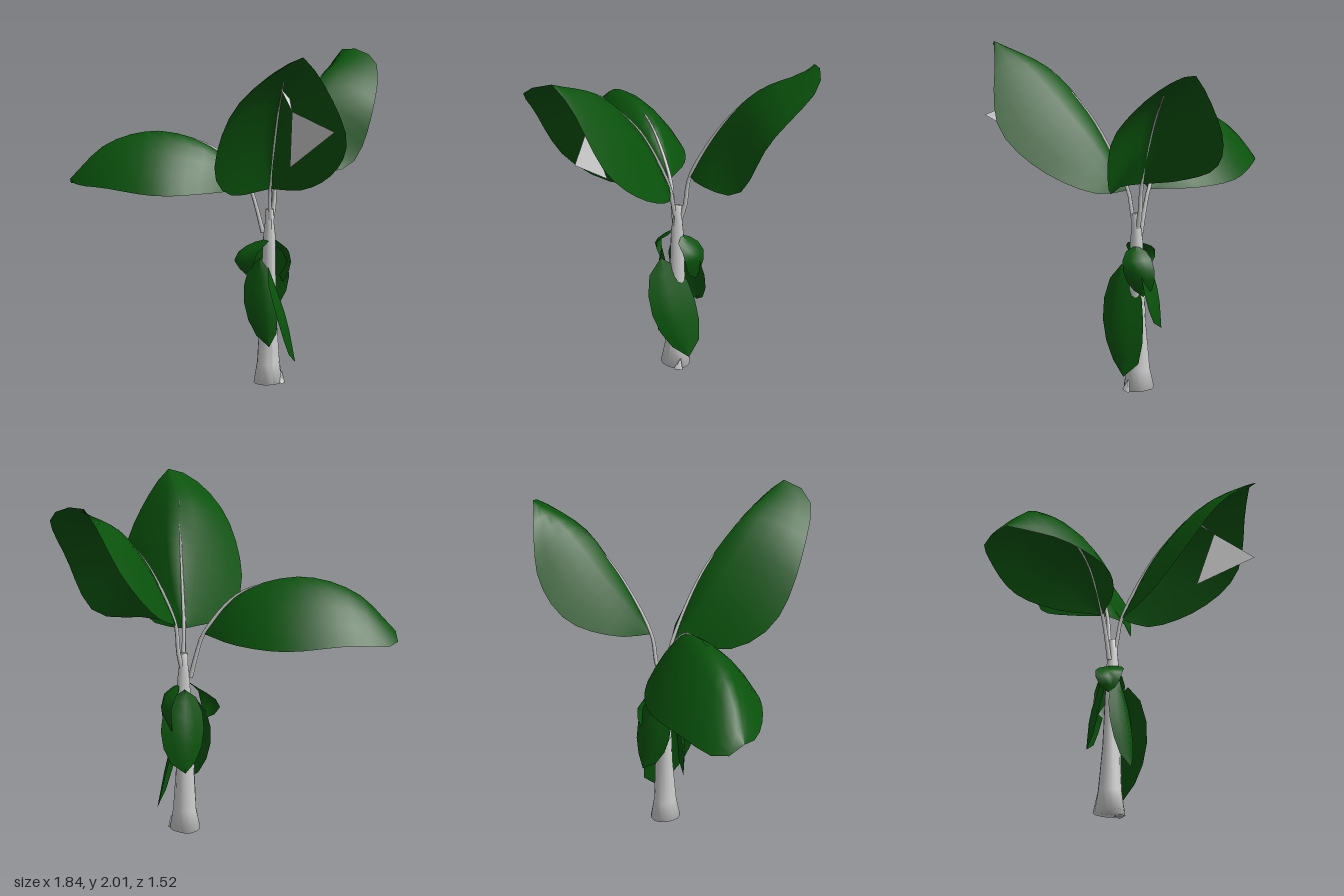
import * as THREE from 'three';

const grey = new THREE.MeshStandardMaterial({ color: 0xcccccc, side: THREE.DoubleSide });
const green = new THREE.MeshStandardMaterial({ color: 0x0a520c, side: THREE.DoubleSide });

const V = (p) => new THREE.Vector3(...p);
const curve = (points) => new THREE.CatmullRomCurve3(points, false, 'centripetal');

function add(group, name, geometry, material) {
  const mesh = new THREE.Mesh(geometry, material);
  mesh.name = name;
  group.add(mesh);
  return mesh;
}

// Blade lofted between a left edge, the midrib and a right edge, arched upwards by `arch`
function bladeGeometry(left, rib, right, arch, across, along) {
  const g = new THREE.PlaneGeometry(1, 1, across, along);
  const pos = g.attributes.position;
  for (let i = 0; i < pos.count; i++) {
    const s = pos.getX(i) * 2;
    const t = THREE.MathUtils.clamp(pos.getY(i) + 0.5, 0, 1);
    const k = Math.abs(s);
    const p = rib.getPointAt(t).lerp((s < 0 ? left : right).getPointAt(t), k);
    p.y += arch * 4 * k * (1 - k) * Math.sin(Math.PI * t);
    pos.setXYZ(i, p.x, p.y, p.z);
  }
  g.computeVertexNormals();
  return g;
}

// Tapering stalk running up from the trunk and along the midrib
function stalkGeometry(points) {
  const path = curve(points), rows = 20, sides = 6;
  const g = new THREE.TubeGeometry(path, rows, 1, sides);
  const pos = g.attributes.position;
  for (let i = 0; i < pos.count; i++) {
    const t = Math.floor(i / (sides + 1)) / rows;
    const centre = path.getPointAt(t);
    const p = new THREE.Vector3().fromBufferAttribute(pos, i).sub(centre)
      .multiplyScalar(0.014 - 0.011 * t).add(centre);
    pos.setXYZ(i, p.x, p.y, p.z);
  }
  return g;
}

// Large living leaf: all three curves share the base and the tip
function addCrownLeaf(plant, name, { root, base, tip, left, rib, right, arch }) {
  const [l, m, r] = [left, rib, right].map((mid) => curve([base, ...mid, tip].map(V)));
  add(plant, name, bladeGeometry(l, m, r, arch, 8, 14), green);
  const bend = V(root).lerp(V(base), 0.5).setY(1.07);
  add(plant, name + 'Stalk', stalkGeometry([V(root), bend, ...[base, ...rib.slice(0, 2)].map(V)]), grey);
}

// Withered leaf: edges are the rib offset by a half width and folded back
function addHangingLeaf(plant, name, top, middle, bottom, halfWidth, fold) {
  const rib = curve([top, middle, bottom].map(V));
  const edge = (side) => curve([0, 0.15, 0.4, 0.65, 0.87, 1].map((t) => {
    const w = Math.sqrt(Math.max(0, Math.sin(Math.PI * t)));
    return rib.getPointAt(t).addScaledVector(V(halfWidth), side * w).addScaledVector(V(fold), w);
  }));
  add(plant, name, bladeGeometry(edge(-1), rib, edge(1), 0, 4, 6), green);
}

// Trunk: lathe with a leaning axis, shallow ridges and a flared foot
function trunkGeometry() {
  const radii = [[0, 0], [0.09, 0], [0.068, 0.12], [0.052, 0.4], [0.036, 0.9], [0.027, 0.98], [0.024, 1.06], [0, 1.06]];
  const g = new THREE.LatheGeometry(radii.map(([x, y]) => new THREE.Vector2(x, y)), 14);
  const pos = g.attributes.position;
  for (let i = 0; i < pos.count; i++) {
    const x = pos.getX(i), y = pos.getY(i), z = pos.getZ(i);
    const k = 1 + 0.06 * Math.sin(3 * Math.atan2(z, x) + 9 * y);
    pos.setXYZ(i, 0.135 + 0.005 * y + x * k, y, -0.112 + 0.012 * y + z * k);
  }
  g.computeVertexNormals();
  return g;
}

export function createModel() {
  const plant = new THREE.Group();
  plant.name = 'broadleafPlant';
  add(plant, 'trunk', trunkGeometry(), grey);

  // Loose bark scale at the foot
  const bark = add(plant, 'barkScale', new THREE.ConeGeometry(0.035, 0.07, 4), grey);
  bark.position.set(0.2, 0.035, -0.06);
  bark.rotation.z = -0.25;

  // Crown of three leaves
  addCrownLeaf(plant, 'frontLeaf', {
    root: [0.14, 0.95, -0.095], base: [0.12, 1.19, -0.05], tip: [-0.04, 2, 0.73], arch: 0.035,
    left: [[-0.2, 1.2, 0.12], [-0.36, 1.36, 0.29], [-0.35, 1.72, 0.54], [-0.2, 1.94, 0.76]],
    rib: [[0.07, 1.58, 0.15], [0, 1.85, 0.4]],
    right: [[0.25, 1.2, 0.12], [0.3, 1.36, 0.45], [0.25, 1.57, 0.66], [0.06, 1.9, 0.71]],
  });
  addCrownLeaf(plant, 'leftLeaf', {
    root: [0.155, 0.98, -0.11], base: [0.2, 1.25, -0.135], tip: [0.85, 1.97, -0.4], arch: 0.03,
    left: [[0.27, 1.29, -0.34], [0.45, 1.41, -0.55], [0.62, 1.62, -0.59], [0.8, 1.98, -0.44]],
    rib: [[0.38, 1.61, -0.21], [0.56, 1.82, -0.28]],
    right: [[0.34, 1.27, -0.04], [0.62, 1.31, 0], [0.79, 1.64, -0.04], [0.92, 1.91, -0.28]],
  });
  addCrownLeaf(plant, 'rightLeaf', {
    root: [0.105, 0.92, -0.12], base: [0.04, 1.18, -0.16], tip: [-0.92, 1.23, -0.63], arch: 0.05,
    left: [[-0.24, 1.18, -0.09], [-0.55, 1.18, -0.12], [-0.8, 1.21, -0.34], [-0.91, 1.21, -0.53]],
    rib: [[-0.15, 1.42, -0.24], [-0.45, 1.52, -0.39], [-0.72, 1.44, -0.53]],
    right: [[-0.05, 1.17, -0.42], [-0.25, 1.17, -0.64], [-0.58, 1.2, -0.75], [-0.87, 1.18, -0.74]],
  });

  // Withered leaves hanging round the trunk
  addHangingLeaf(plant, 'hangingLeafLong',
    [0.09, 0.74, -0.01], [0.2, 0.42, 0.01], [0.285, 0.12, -0.04], [0.07, 0, -0.125], [-0.02, 0, -0.035]);
  addHangingLeaf(plant, 'hangingLeafFront',
    [0.06, 0.78, -0.06], [0.06, 0.5, -0.01], [0.09, 0.25, 0.01], [0.08, 0, 0.06], [0, 0, -0.04]);
  addHangingLeaf(plant, 'hangingLeafUpperLeft',
    [0.17, 0.88, -0.1], [0.28, 0.78, -0.12], [0.25, 0.6, -0.15], [0, 0, -0.09], [-0.03, 0, 0]);
  addHangingLeaf(plant, 'hangingLeafUpperRight',
    [0.1, 0.88, -0.1], [-0.04, 0.76, -0.12], [0, 0.67, -0.12], [0.04, 0.02, 0.08], [0.03, 0.02, 0]);
  addHangingLeaf(plant, 'hangingLeafBack',
    [0.15, 0.86, -0.15], [0.17, 0.6, -0.23], [0.18, 0.39, -0.25], [-0.13, 0, 0], [0, 0, 0.06]);

  // Pale torn strip hanging beneath the front leaf
  const [high, inner, low, outer] = [[-0.01, 1.82, 0.37], [0, 1.7, 0.51], [0.04, 1.38, 0.4], [0.13, 1.61, 0.76]].map(V);
  const fringe = high.clone().lerp(inner, 0.5).setX(0.02);
  const strip = new THREE.BufferGeometry().setFromPoints([high, inner, fringe, inner, low, outer]);
  strip.computeVertexNormals();
  add(plant, 'tornStrip', strip, grey);
  return plant;
}
